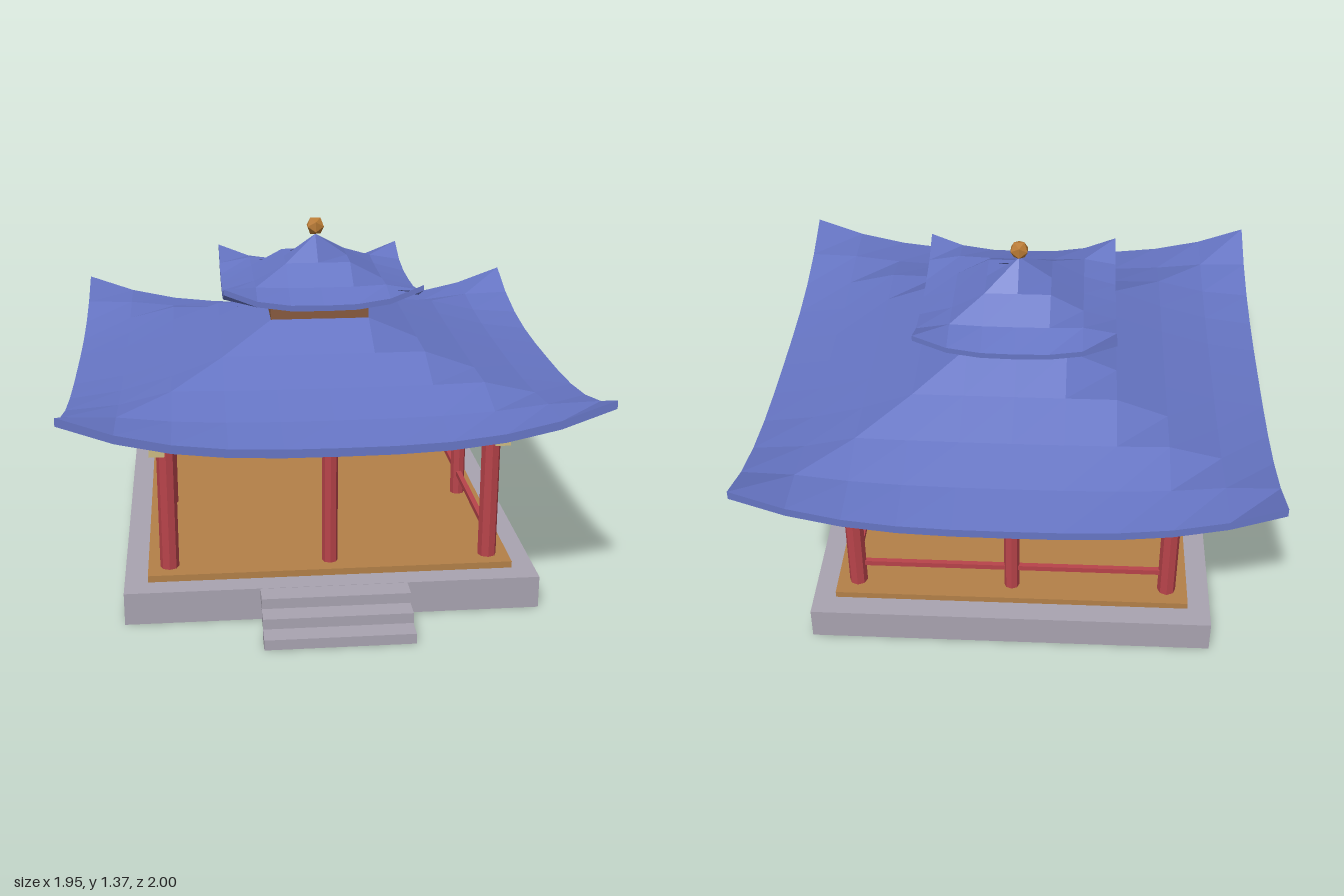
import * as THREE from 'three';

const mat = (name, color) => {
  const m = new THREE.MeshStandardMaterial({ color });
  m.name = name;
  m.flatShading = true;
  return m;
};

export function createModel() {
  const stone = mat('stone', 0xa8a3b0);
  const floorWood = mat('floor wood', 0xb38048);
  const red = mat('red lacquer', 0xb8434a);
  const brown = mat('brown wood', 0x87593c);
  const cream = mat('cream', 0xcdbb82);
  const blue = mat('blue tile', 0x6675c4);
  const gold = mat('gold', 0xb87a34);

  const model = new THREE.Group();
  model.name = 'pavilion';
  const body = new THREE.Group(); // everything centred under the roof
  body.name = 'body';
  body.position.z = -0.022;
  model.add(body);

  const add = (name, geometry, material, x, y, z, parent = body) => {
    const mesh = new THREE.Mesh(geometry, material);
    mesh.name = name;
    mesh.position.set(x, y, z);
    parent.add(mesh);
    return mesh;
  };
  const box = (name, material, w, y0, y1, d, x = 0, z = 0, parent = body) =>
    add(name, new THREE.BoxGeometry(w, y1 - y0, d), material, x, (y0 + y1) / 2, z, parent);

  // Plinth and floor
  box('plinth', stone, 1.57, 0, 0.127, 1.57);
  box('floor', floorWood, 1.394, 0.127, 0.153, 1.394);

  // Three thin steps at the front
  for (let i = 0; i < 3; i++) {
    box('step', stone, 0.555, i * 0.0435, i * 0.0435 + 0.04, 0.085, 0, 0.9575 - i * 0.075, model);
  }

  // Pillars: thicker at the corners, brackets outside them
  const P = 0.615;
  for (const i of [-1, 0, 1]) {
    for (const k of [-1, 0, 1]) {
      if (!i && !k) continue;
      const corner = i && k;
      const r = corner ? 0.036 : 0.03;
      add(corner ? 'cornerPillar' : 'middlePillar',
        new THREE.CylinderGeometry(r, r, 0.56, 8), red, i * P, 0.433, k * P);
      if (corner) box('bracket', cream, 0.058, 0.624, 0.703, 0.058, i * 0.647, k * 0.647);
    }
  }

  // Beams on all sides, rails on all but the front
  for (const s of [-1, 1]) {
    box('beam', brown, 1.3, 0.703, 0.76, 0.062, 0, s * P);
    box('beam', brown, 0.062, 0.703, 0.76, 1.3, s * P, 0);
    box('sideRail', red, 0.02, 0.236, 0.258, 2 * P, s * P, 0);
  }
  box('backRail', red, 2 * P, 0.236, 0.258, 0.02, 0, -P);

  // Swept roof: a gridded slab bent into a concave pyramid with raised corners
  const roof = (name, half, segments, eave, rise, lift, thick) => {
    const g = new THREE.BoxGeometry(2 * half, thick, 2 * half, segments, 1, segments);
    const p = g.attributes.position;
    for (let i = 0; i < p.count; i++) {
      const u = Math.abs(p.getX(i)) / half;
      const v = Math.abs(p.getZ(i)) / half;
      const slope = rise * Math.pow(Math.max(0, 1 - Math.max(u, v)), 1.5);
      p.setY(i, p.getY(i) - thick / 2 + slope + lift * Math.pow(u * v, 3));
    }
    g.computeVertexNormals();
    return add(name, g, blue, 0, eave, 0);
  };
  roof('lowerRoof', 0.977, 10, 0.755, 0.342, 0.145, 0.032);
  box('upperStorey', brown, 0.388, 1.0, 1.115, 0.388);
  roof('upperRoof', 0.382, 6, 1.105, 0.195, 0.072, 0.022);

  // Finial
  add('finial', new THREE.IcosahedronGeometry(0.039, 0), gold, 0, 1.333, 0);

  return model;
}
